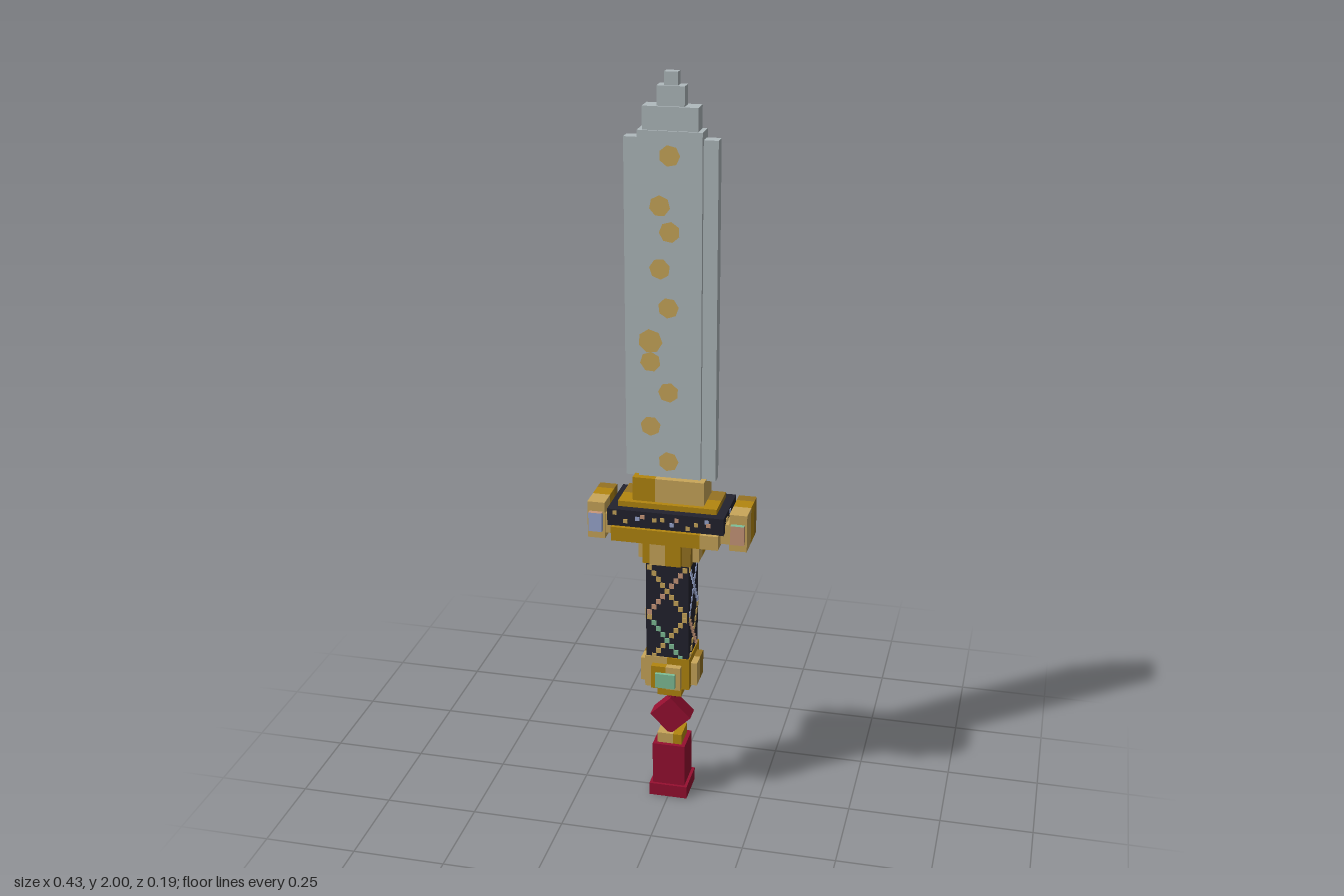
import * as THREE from 'three';

const mat = (name, color) => {
  const m = new THREE.MeshStandardMaterial({ color });
  m.name = name;
  return m;
};

export function createModel() {
  const steel = mat('steel', 0xb0babd);
  const paleGold = mat('pale gold', 0xc9a75a);
  const gold = mat('gold', 0xb3860f);
  const darkGold = mat('dark gold', 0x967322);
  const black = mat('black', 0x22222e);
  const red = mat('crimson', 0x960f30);
  const blue = mat('blue gem', 0x9aa8d0);
  const copper = mat('copper gem', 0xc9977a);
  const green = mat('green gem', 0x7fbf98);

  const model = new THREE.Group();
  const group = (name) => {
    const g = new THREE.Group();
    g.name = name;
    model.add(g);
    return g;
  };

  // Box from half width, bottom, top and half depth
  const box = (parent, name, hx, y0, y1, hz, material, x = 0, z = 0) => {
    const m = new THREE.Mesh(new THREE.BoxGeometry(hx * 2, y1 - y0, hz * 2), material);
    m.position.set(x, (y0 + y1) / 2, z);
    m.name = name;
    parent.add(m);
    return m;
  };
  // Box cut along x or z into differently toned lengths
  const toned = (parent, name, hx, y0, y1, hz, axis, cuts, mats, x = 0) => {
    const h = axis === 'x' ? hx : hz;
    const ends = [-h, ...cuts, h];
    mats.forEach((m, i) => {
      const half = (ends[i + 1] - ends[i]) / 2, mid = (ends[i + 1] + ends[i]) / 2;
      if (axis === 'x') box(parent, name, half, y0, y1, hz, m, x + mid);
      else box(parent, name, hx, y0, y1, half, m, x, mid);
    });
  };

  // Stepped blade with thinner cutting edges
  const blade = group('blade');
  box(blade, 'bladeCore', 0.082, 0.95, 1.86, 0.029, steel);
  for (const s of [-1, 1]) box(blade, 'cuttingEdge', 0.019, 0.95, 1.84, 0.017, steel, s * 0.1);
  box(blade, 'bladeStep', 0.07, 1.86, 1.918, 0.024, steel);
  box(blade, 'bladeStep', 0.035, 1.918, 1.967, 0.018, steel);
  box(blade, 'bladeTip', 0.017, 1.967, 2, 0.012, steel);

  // Gilded spots down both faces
  const spots = [[0, 1.8], [-0.025, 1.675], [0, 1.61], [-0.025, 1.515], [-0.003, 1.415],
    [-0.05, 1.325], [-0.05, 1.27], [-0.003, 1.19], [-0.05, 1.095], [-0.003, 1.0]];
  spots.forEach(([x, y], i) => {
    for (const s of [-1, 1]) {
      const spot = new THREE.Mesh(new THREE.CircleGeometry(i === 5 ? 0.032 : 0.027, 7), paleGold);
      const bx = s < 0 && x === -0.025 ? 0.012 : x;
      spot.position.set(bx, y, s * 0.0305);
      spot.rotation.set(0, s < 0 ? Math.PI : 0, i * 0.7);
      spot.name = 'gildedSpot';
      blade.add(spot);
    }
  });

  // Guard, from the blade collar down to the grip collar
  const guard = group('guard');
  toned(guard, 'bladeCollar', 0.095, 0.885, 0.955, 0.047, 'x', [-0.035], [gold, paleGold]);
  toned(guard, 'guardTopPlate', 0.132, 0.85, 0.89, 0.06, 'z', [0], [darkGold, gold]);
  box(guard, 'guardBand', 0.155, 0.828, 0.875, 0.083, black);
  toned(guard, 'guardPlate', 0.143, 0.79, 0.829, 0.094, 'x', [0.095], [gold, paleGold]);
  toned(guard, 'guardBar', 0.17, 0.795, 0.85, 0.06, 'z', [0.0], [darkGold, paleGold]);
  toned(guard, 'gripCollar', 0.065, 0.72, 0.79, 0.065, 'x', [0], [gold, darkGold]);
  toned(guard, 'gripCollarArm', 0.082, 0.725, 0.79, 0.042, 'z', [0.0], [gold, paleGold]);
  toned(guard, 'gripCollarArm', 0.042, 0.725, 0.79, 0.082, 'x', [0], [paleGold, gold]);

  // End blocks with a gem front and back
  for (const s of [-1, 1]) {
    toned(guard, 'guardEnd', 0.0235, 0.78, 0.882, 0.065, 'z', [-0.033, 0.01],
      [darkGold, gold, paleGold], s * 0.19);
    for (const f of [-1, 1]) {
      const face = s * f > 0 ? copper : blue;
      const top = s < 0 ? copper : f > 0 ? green : blue;
      box(guard, 'guardGem', 0.018, 0.803, 0.856, 0.008,
        [face, face, top, top, face, face], s * 0.19, f * 0.07);
    }
  }

  // Small inlays, placed on one of four faces by quarter turn
  let seed = 7;
  const rand = () => (seed = (seed * 16807) % 2147483647) / 2147483647;
  const inlay = (parent, name, turn, u, y, d, w, h, material) => {
    const m = new THREE.Mesh(new THREE.BoxGeometry(w, h, 0.004), material);
    const a = turn * Math.PI / 2;
    m.position.set(u * Math.cos(a) + d * Math.sin(a), y, d * Math.cos(a) - u * Math.sin(a));
    m.rotation.y = a;
    m.name = name;
    parent.add(m);
  };
  for (let turn = 0; turn < 4; turn++) {
    const long = turn % 2 === 0;
    const half = long ? 0.135 : 0.07, n = long ? 12 : 6;
    for (let i = 0; i < n; i++) {
      inlay(guard, 'bandFleck', turn, (((i + rand()) / n) * 2 - 1) * half, 0.838 + rand() * 0.03,
        long ? 0.083 : 0.155, 0.011, 0.011, [paleGold, paleGold, blue, copper][i % 4]);
    }
  }

  // Grip wrapped with crossed beads
  const grip = group('grip');
  box(grip, 'gripCore', 0.058, 0.42, 0.73, 0.058, black);
  const strandTones = [
    [[paleGold, copper], [green, paleGold]], [[blue, blue], [copper, paleGold]],
    [[blue, paleGold], [paleGold, blue]], [[paleGold, copper], [blue, green]]];
  for (let turn = 0; turn < 4; turn++) {
    for (let c = 0; c < 2; c++) {
      for (let i = 0; i < 9; i++) {
        const t = i / 8 * 2 - 1, y = 0.64 - c * 0.147 + t * 0.066;
        for (const s of [-1, 1]) {
          const tone = strandTones[turn][c][s < 0 ? 0 : 1];
          inlay(grip, 'wrapBead', turn, s * t * 0.048, y, 0.0585, 0.013, 0.014, i === 8 ? paleGold : tone);
        }
      }
    }
  }

  // Cross-shaped pommel with front and back gems
  const pommel = group('pommel');
  toned(pommel, 'pommelCore', 0.061, 0.35, 0.442, 0.061, 'x', [0], [paleGold, gold]);
  toned(pommel, 'pommelArm', 0.078, 0.355, 0.422, 0.04, 'z', [0], [darkGold, paleGold]);
  toned(pommel, 'pommelArm', 0.04, 0.355, 0.422, 0.079, 'x', [0], [gold, paleGold]);
  for (const s of [-1, 1]) box(pommel, 'pommelGem', 0.027, 0.362, 0.404, 0.005, green, 0, s * 0.083);
  box(pommel, 'pommelFoot', 0.033, 0.31, 0.35, 0.033, gold);

  // Hanging charm and tassel
  const tassel = group('tassel');
  box(tassel, 'cord', 0.009, 0.18, 0.312, 0.009, red);
  box(tassel, 'diamondCharm', 0.04, 0.2, 0.28, 0.024, red).rotation.z = Math.PI / 4;
  toned(tassel, 'tasselKnob', 0.034, 0.158, 0.19, 0.034, 'x', [0.01], [paleGold, gold]);
  box(tassel, 'tasselBody', 0.045, 0.03, 0.16, 0.045, red);
  box(tassel, 'tasselHem', 0.053, 0, 0.036, 0.053, red);

  return model;
}
